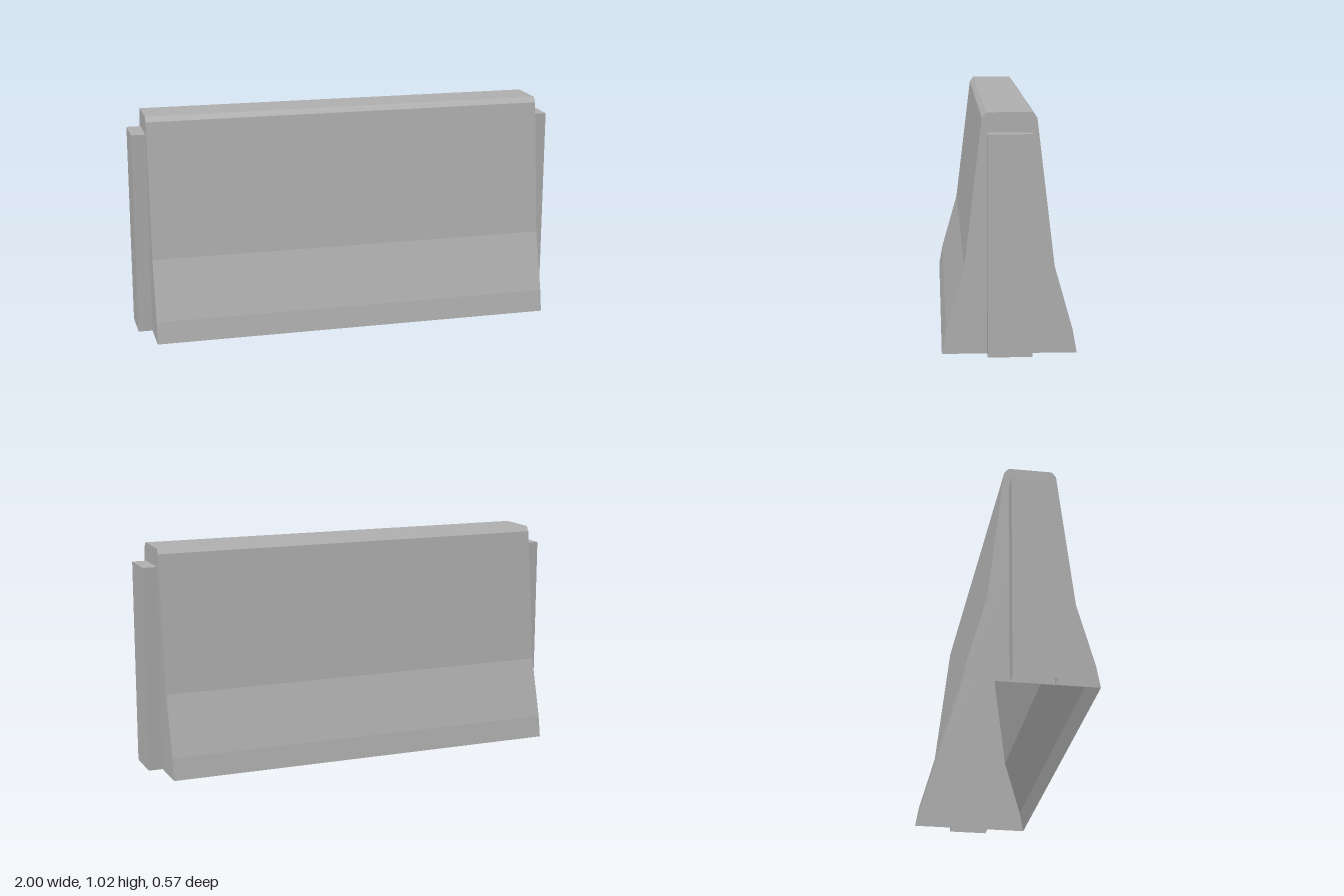
import * as THREE from 'three';

// Drops the faces lying on the ground, leaving a hollow shell open at the base
function openBase(geometry) {
  const source = geometry.index ? geometry.toNonIndexed() : geometry;
  const p = source.attributes.position;
  const kept = [];
  for (let i = 0; i < p.count; i += 3) {
    if (Math.max(p.getY(i), p.getY(i + 1), p.getY(i + 2)) < 1e-4) continue;
    for (let j = i; j < i + 3; j++) kept.push(p.getX(j), p.getY(j), p.getZ(j));
  }
  const shell = new THREE.BufferGeometry();
  shell.setAttribute('position', new THREE.Float32BufferAttribute(kept, 3));
  shell.computeVertexNormals();
  return shell;
}

export function createModel() {
  const model = new THREE.Group();
  model.name = 'roadBarrier';
  const concrete = new THREE.MeshStandardMaterial({ color: 0xb0b0b0, side: THREE.DoubleSide });
  concrete.name = 'concrete';

  // Barrier body: mirrored sloping profile swept along x
  const half = [[0.286, 0], [0.268, 0.1], [0.19, 0.375], [0.115, 1.0], [0.097, 1.024]];
  const outline = [...half, ...half.map(([z, y]) => [-z, y]).reverse()];
  const shape = new THREE.Shape(outline.map(([z, y]) => new THREE.Vector2(z, y)));
  const bodyHalf = 0.935;
  const sweep = new THREE.ExtrudeGeometry(shape, { depth: bodyHalf * 2, bevelEnabled: false });
  sweep.translate(0, 0, -bodyHalf).rotateY(Math.PI / 2);
  const body = new THREE.Mesh(openBase(sweep), concrete);
  body.name = 'barrierBody';
  model.add(body);

  // Connecting key on each end
  const keyHeight = 0.94, keyDepth = 1 - bodyHalf;
  for (const side of [1, -1]) {
    const box = new THREE.BoxGeometry(keyDepth, keyHeight, 0.188);
    box.translate(side * (bodyHalf + keyDepth / 2), keyHeight / 2, 0);
    const key = new THREE.Mesh(openBase(box), concrete);
    key.name = side > 0 ? 'leftEndKey' : 'rightEndKey';
    model.add(key);
  }
  return model;
}
